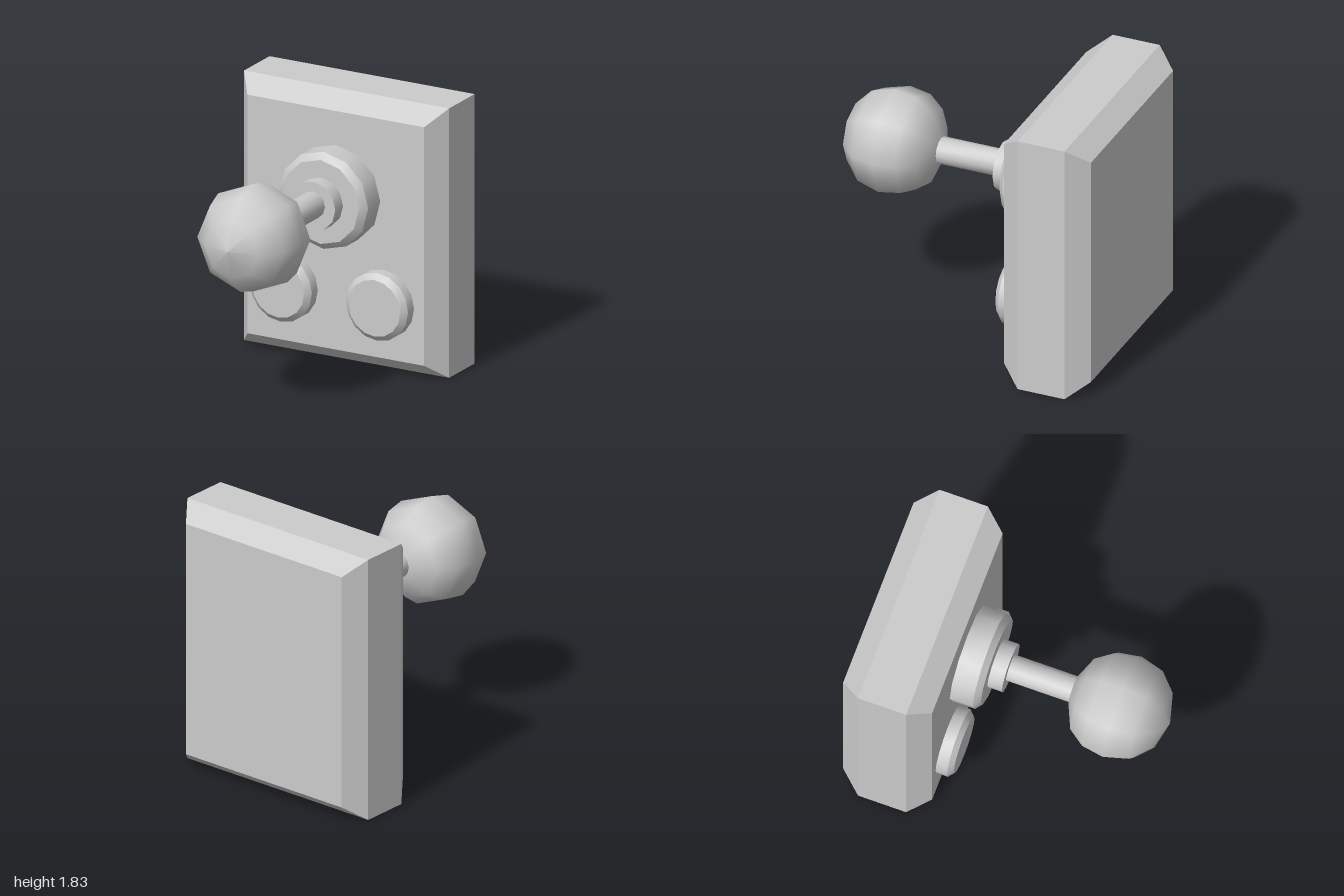
import * as THREE from 'three';
import { toCreasedNormals } from 'three/addons/utils/BufferGeometryUtils.js';

const material = new THREE.MeshStandardMaterial({ color: 0xcccccc });

function addMesh(group, name, geometry) {
  const mesh = new THREE.Mesh(geometry, material);
  mesh.name = name;
  group.add(mesh);
  return mesh;
}

// Turned part along +z; profile is a list of [radius, z]
function turned(profile, sides, x, y, creased = true) {
  let geometry = new THREE.LatheGeometry(profile.map(([r, z]) => new THREE.Vector2(r, z)), sides);
  geometry.rotateX(Math.PI / 2);
  if (creased) geometry = toCreasedNormals(geometry, 0.6);
  geometry.translate(x, y, 0);
  return geometry;
}

export function createModel() {
  const group = new THREE.Group();
  group.name = 'wallLever';

  // Upright slab, chamfered around its front and back faces
  const w = 0.655, bottom = 0.11, top = 1.73;
  const outline = new THREE.Shape([
    new THREE.Vector2(-w, bottom), new THREE.Vector2(w, bottom),
    new THREE.Vector2(w, top), new THREE.Vector2(-w, top),
  ]);
  const slab = new THREE.ExtrudeGeometry(outline, {
    depth: 0.33, bevelSize: 0.105, bevelThickness: 0.14, bevelSegments: 1,
  });
  slab.translate(0, 0, -0.862);
  addMesh(group, 'backPlate', slab);

  // Stepped mount and shaft
  addMesh(group, 'mount', turned([[0.33, -0.42], [0.33, -0.235], [0.285, -0.195], [0, -0.195]], 12, 0, 1.17));
  addMesh(group, 'collar', turned([[0.167, -0.22], [0.167, -0.095], [0, -0.095]], 12, 0, 1.17));
  addMesh(group, 'shaft', turned([[0.09, -0.12], [0.09, 0.38]], 12, 0, 1.18));

  // Ball knob: eight sides around the shaft axis
  const knob = [
    [0, 0.335], [0.1, 0.338], [0.26, 0.41], [0.34, 0.52], [0.365, 0.67],
    [0.32, 0.83], [0.2, 0.943], [0, 0.998],
  ];
  addMesh(group, 'knob', turned(knob, 8, -0.005, 1.182, false));

  // Two bevelled round buttons
  const button = [[0.23, -0.42], [0.23, -0.315], [0.192, -0.28], [0, -0.28]];
  addMesh(group, 'rightButton', turned(button, 16, -0.363, 0.49));
  addMesh(group, 'leftButton', turned(button, 16, 0.35, 0.482));

  return group;
}
